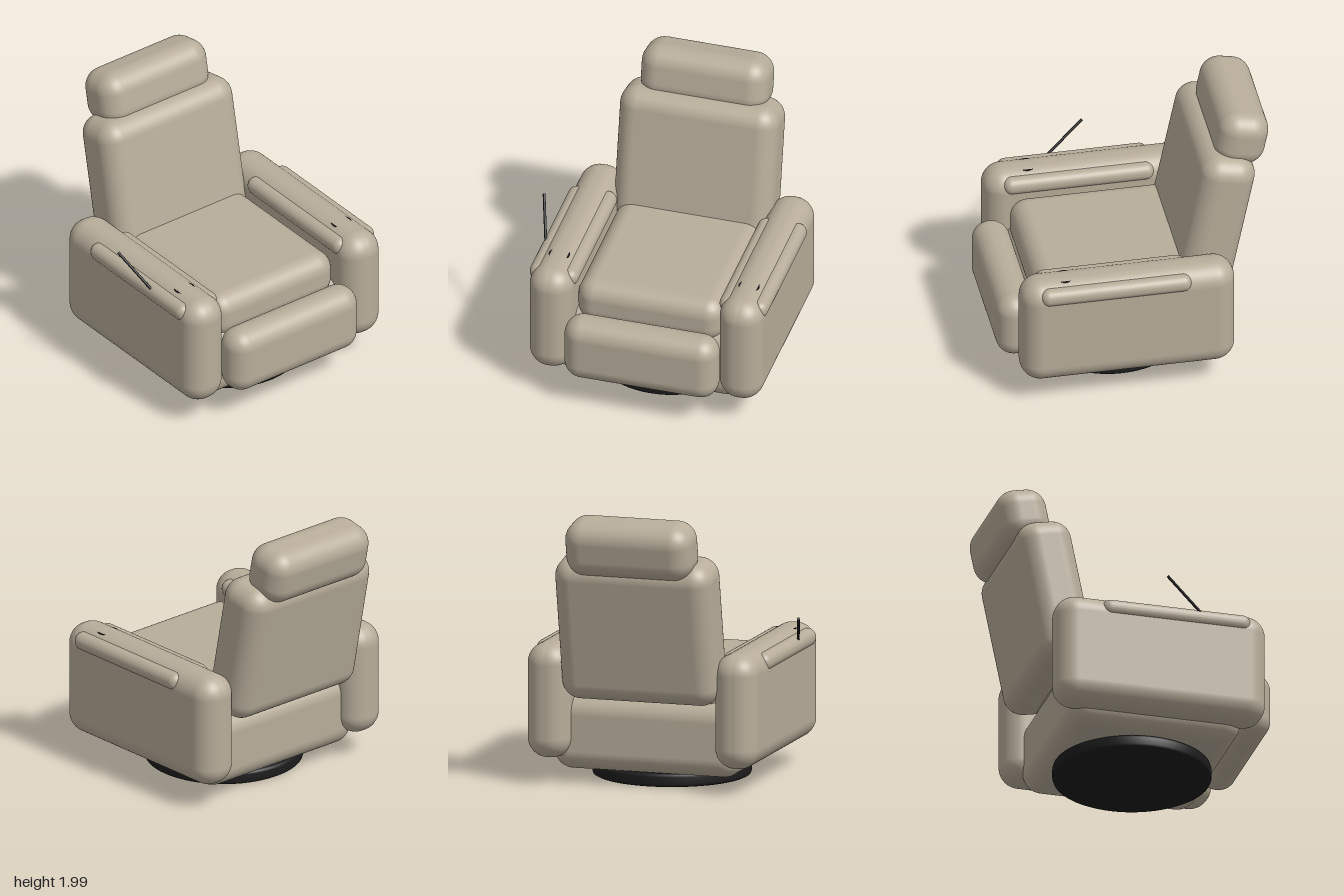
import * as THREE from 'three';
import { RoundedBoxGeometry } from 'three/addons/geometries/RoundedBoxGeometry.js';

const CX = 0.037; // centre line of the chair; the lever sticks out to one side

export function createModel() {
  const upholstery = new THREE.MeshStandardMaterial({ color: 0xb8ad9a });
  upholstery.name = 'beige upholstery';
  const black = new THREE.MeshStandardMaterial({ color: 0x1c1c1c });
  black.name = 'black plastic';

  const model = new THREE.Group();
  model.name = 'reclinerChair';

  const add = (name, geometry, material, x, y, z, tilt = 0) => {
    const mesh = new THREE.Mesh(geometry, material);
    mesh.name = name;
    mesh.position.set(x, y, z);
    mesh.rotation.x = tilt;
    model.add(mesh);
    return mesh;
  };
  const cushion = (name, w, h, d, r, x, y, z, tilt) =>
    add(name, new RoundedBoxGeometry(w, h, d, 8, r), upholstery, x, y, z, tilt);

  // Round swivel base with softened rims
  const R = 0.565;
  const profile = [[0, 0.005], [R - 0.02, 0.005], [R - 0.005, 0.013], [R, 0.028],
    [R, 0.077], [R - 0.005, 0.092], [R - 0.02, 0.1], [0, 0.1]]
    .map(([x, y]) => new THREE.Vector2(x, y));
  add('swivelBase', new THREE.LatheGeometry(profile, 64), black, CX, 0, 0.1);

  // Body, seat and footrest
  cushion('body', 1.4, 0.54, 1.27, 0.14, CX, 0.37, 0.095);
  cushion('seatCushion', 1.08, 0.34, 1.2, 0.13, CX, 0.72, 0.12);
  cushion('footrest', 1.13, 0.49, 0.27, 0.13, CX, 0.475, 0.855);

  // Reclined back and headrest
  cushion('backrest', 1.17, 1.07, 0.4, 0.14, CX, 1.179, -0.597, -0.2);
  cushion('headrest', 0.94, 0.405, 0.366, 0.14, CX, 1.79, -0.8, -0.2);

  // Arms with side pads and sunken cup holders
  for (const [side, s] of [['left', 1], ['right', -1]]) {
    const x = CX + s * 0.7;
    cushion(side + 'Arm', 0.32, 0.83, 1.545, 0.148, x, 0.605, 0.098);
    cushion(side + 'ArmPad', 0.355, 0.13, 1.09, 0.062, x, 0.925, 0.195);
    add(side + 'CupHolder', new THREE.CylinderGeometry(0.075, 0.075, 0.06, 32), black, x, 0.981, 0.55);
  }

  // Recline lever on the right side
  const foot = new THREE.Vector3(-0.815, 0.96, 0.37);
  const tip = new THREE.Vector3(-0.907, 1.172, 0.098);
  const along = tip.clone().sub(foot);
  const mid = foot.clone().add(tip).multiplyScalar(0.5);
  const lever = add('reclineLever', new THREE.CylinderGeometry(0.01, 0.01, along.length(), 16),
    black, mid.x, mid.y, mid.z);
  lever.quaternion.setFromUnitVectors(new THREE.Vector3(0, 1, 0), along.normalize());

  return model;
}
